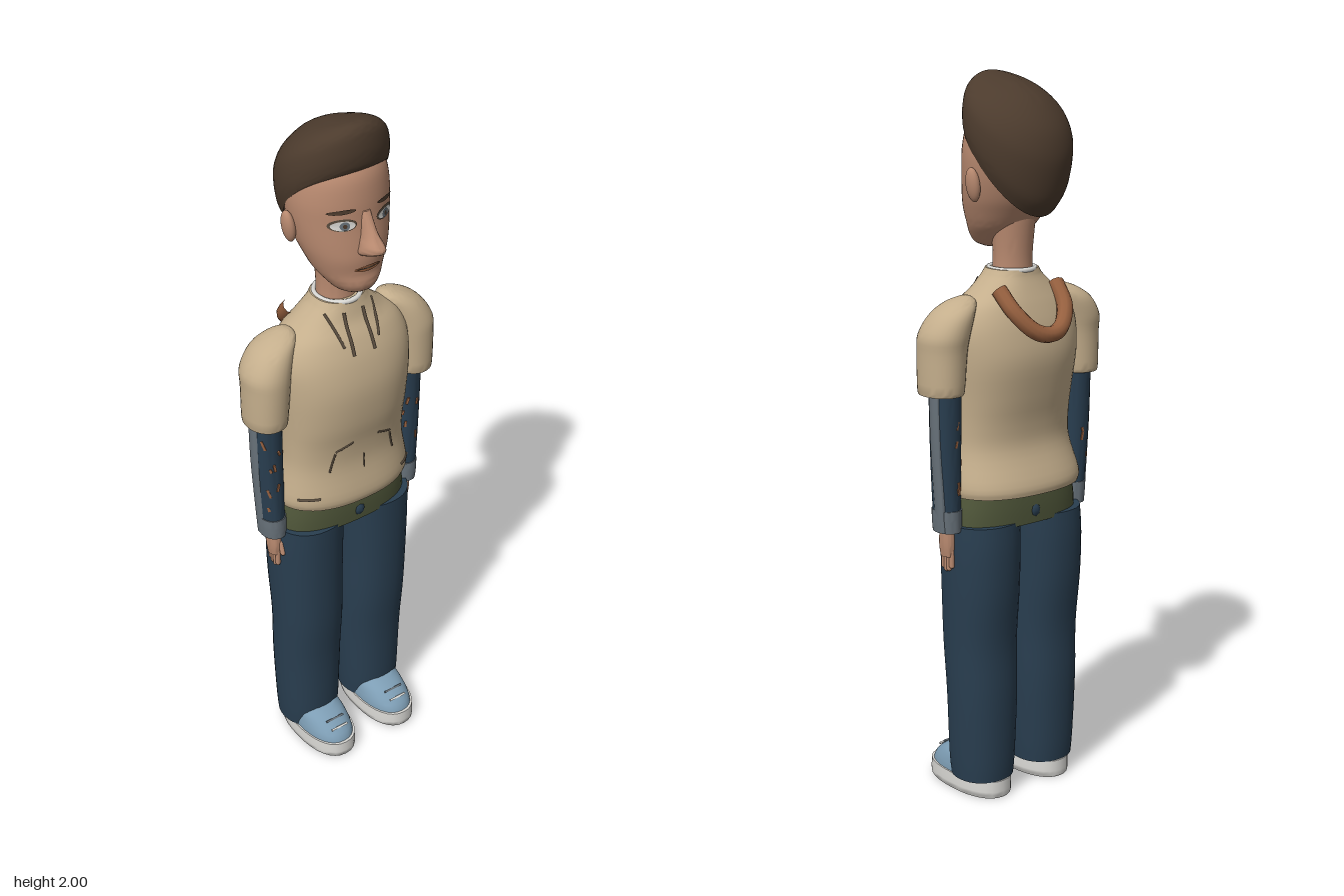
import * as THREE from 'three';
import { toCreasedNormals } from 'three/addons/utils/BufferGeometryUtils.js';

const mat = (name, color) => {
  const m = new THREE.MeshStandardMaterial({ color });
  m.name = name;
  return m;
};

// Ring: front y and z, back y and z, centre x, half width, lift at the sides
const ring = (y, zf, zb, rx, cx = 0) => [y, zf, y, zb, cx, rx, 0];

// Smooth value between b and c, with neighbours a and d
const blend = (a, b, c, d, t) => {
  const cubic = 3 * (b - c) + d - a;
  const square = 2 * a - 5 * b + 4 * c - d;
  return b + 0.5 * t * (c - a + t * (square + t * cubic));
};

// Smooth in-between rings
function refine(rings, steps = 4) {
  const out = [];
  for (let i = 0; i < rings.length - 1; i++) {
    const [a, b, c, d] = [-1, 0, 1, 2].map(k => rings[THREE.MathUtils.clamp(i + k, 0, rings.length - 1)]);
    for (let s = 0; s < steps; s++) out.push(b.map((v, k) => blend(a[k], v, c[k], d[k], s / steps)));
  }
  out.push(rings[rings.length - 1]);
  return out;
}

// Point on a ring at angle a, measured from the front towards +x
function ringPoint([yf, zf, yb, zb, cx, rx, lift], a, n) {
  const bend = v => Math.sign(v) * Math.pow(Math.abs(v), 2 / n);
  const u = bend(Math.cos(a)), s = bend(Math.sin(a));
  return [cx + rx * s, (yf + yb) / 2 + (yf - yb) / 2 * u + lift * (1 - u * u), (zf + zb) / 2 + (zf - zb) / 2 * u];
}

// Closed skin over rings listed from bottom to top
function loft(rings, n = 2, seg = 32) {
  const rs = refine(rings), pos = [], idx = [];
  for (const r of rs) for (let j = 0; j < seg; j++) pos.push(...ringPoint(r, j / seg * Math.PI * 2, n));
  const last = (rs.length - 1) * seg, base = rs.length * seg;
  for (const r of [rs[0], rs[rs.length - 1]]) pos.push(r[4], (r[0] + r[2]) / 2, (r[1] + r[3]) / 2);
  for (let j = 0; j < seg; j++) {
    const k = (j + 1) % seg;
    for (let i = 0; i < last; i += seg) idx.push(i + j, i + k, i + seg + k, i + j, i + seg + k, i + seg + j);
    idx.push(base, k, j, base + 1, last + j, last + k);
  }
  const g = new THREE.BufferGeometry();
  g.setAttribute('position', new THREE.Float32BufferAttribute(pos, 3));
  g.setIndex(idx);
  return toCreasedNormals(g, 0.9);
}

// Front surface depth of level rings at (x, y)
function frontZ(rings, n, x, y) {
  const rs = refine(rings);
  let i = 0;
  while (i < rs.length - 2 && rs[i + 1][0] < y) i++;
  const t = THREE.MathUtils.clamp((y - rs[i][0]) / (rs[i + 1][0] - rs[i][0]), 0, 1);
  const r = rs[i].map((v, k) => v + (rs[i + 1][k] - v) * t);
  const w = Math.min(1, Math.abs((x - r[4]) / r[5]));
  return (r[1] + r[3]) / 2 + (r[1] - r[3]) / 2 * Math.pow(1 - Math.pow(w, n), 1 / n);
}

export function createModel() {
  const model = new THREE.Group();
  model.name = 'standingFigure';
  const shirt = mat('sand shirt', 0xc4ae8c), skin = mat('skin', 0xb98a70), hair = mat('brown hair', 0x4c3b2d);
  const navy = mat('navy cloth', 0x293e50), olive = mat('olive band', 0x50573a), blue = mat('shoe blue', 0x7d9db4);
  const white = mat('off white', 0xdad9d5), rust = mat('rust', 0x96603f), grey = mat('grey', 0x68727a);
  const seam = mat('dark seam', 0x594c3e);

  const add = (name, geo, material, parent = model) => {
    const m = new THREE.Mesh(geo, material);
    m.name = name;
    parent.add(m);
    return m;
  };
  const ball = (name, material, p, s) => {
    const m = add(name, new THREE.SphereGeometry(1, 24, 16), material);
    m.position.set(...p);
    m.scale.set(...s);
    return m;
  };

  // Torso
  const torso = [
    ring(0.88, 0.125, -0.145, 0.203), ring(0.91, 0.13, -0.145, 0.208), ring(1.0, 0.116, -0.11, 0.19),
    ring(1.07, 0.12, -0.11, 0.188), ring(1.15, 0.135, -0.125, 0.192), ring(1.25, 0.14, -0.14, 0.2),
    ring(1.33, 0.125, -0.13, 0.2), ring(1.39, 0.1, -0.112, 0.175), ring(1.43, 0.076, -0.096, 0.125),
    ring(1.465, 0.064, -0.082, 0.085), ring(1.485, 0.058, -0.078, 0.07)];
  add('shirtBody', loft(torso, 2.3, 48), shirt);

  // Shirt folds and seams following the chest
  const fold = (name, from, to, radius) => {
    const pts = [0, 0.33, 0.67, 1].map(t => {
      const x = from[0] + (to[0] - from[0]) * t, y = from[1] + (to[1] - from[1]) * t;
      return new THREE.Vector3(x, y, frontZ(torso, 2.3, x, y));
    });
    add(name, new THREE.TubeGeometry(new THREE.CatmullRomCurve3(pts), 10, radius, 6), seam);
  };
  for (const s of [1, -1]) {
    fold('collarFold', [s * 0.075, 1.46], [s * 0.055, 1.38], 0.004);
    fold('collarCord', [s * 0.03, 1.46], [s * 0.033, 1.355], 0.005);
    fold('waistFold', [s * 0.105, 1.0], [s * 0.09, 1.06], 0.003);
    fold('waistFoldTop', [s * 0.09, 1.065], [s * 0.04, 1.085], 0.003);
    fold('hemMark', [s * 0.135, 0.922], [s * 0.185, 0.918], 0.004);
  }
  fold('centreSeam', [0, 0.985], [0, 1.03], 0.002);

  // Neck, collar and folded hood
  add('neck', loft([ring(1.45, 0.042, -0.066, 0.058), ring(1.52, 0.038, -0.065, 0.055),
    ring(1.62, 0.045, -0.075, 0.062)]), skin);
  const collar = add('collarTrim', new THREE.TorusGeometry(0.06, 0.007, 8, 32), white);
  collar.rotation.x = Math.PI / 2;
  collar.scale.y = 1.08;
  collar.position.set(0, 1.483, -0.01);
  const hoodPath = [[-0.1, 1.44, -0.075], [-0.088, 1.385, -0.125], [-0.045, 1.335, -0.158], [0, 1.322, -0.166],
    [0.045, 1.335, -0.158], [0.088, 1.385, -0.125], [0.1, 1.44, -0.075]].map(p => new THREE.Vector3(...p));
  add('hoodFold', new THREE.TubeGeometry(new THREE.CatmullRomCurve3(hoodPath), 32, 0.022, 10), rust);

  // Head
  const head = [
    ring(1.535, 0.095, 0.03, 0.03), ring(1.546, 0.118, 0, 0.055), ring(1.57, 0.127, -0.03, 0.076),
    ring(1.6, 0.124, -0.06, 0.096), ring(1.64, 0.128, -0.09, 0.113), ring(1.68, 0.125, -0.115, 0.126),
    ring(1.74, 0.118, -0.138, 0.137), ring(1.8, 0.115, -0.15, 0.14), ring(1.86, 0.105, -0.145, 0.128),
    ring(1.9, 0.08, -0.12, 0.095), ring(1.93, 0.05, -0.07, 0.05)];
  add('head', loft(head, 2, 48), skin);
  add('nose', loft([ring(1.652, 0.128, 0.09, 0.02), ring(1.668, 0.165, 0.09, 0.031), ring(1.687, 0.188, 0.09, 0.029),
    ring(1.72, 0.158, 0.09, 0.019), ring(1.775, 0.122, 0.09, 0.014)], 1.8, 20), skin);
  add('hair', loft([
    [1.88, 0.098, 1.63, -0.13, 0, 0.14, 0.04], [1.895, 0.104, 1.67, -0.158, 0, 0.147, 0.035],
    [1.93, 0.108, 1.74, -0.175, 0, 0.148, 0.02], [1.97, 0.104, 1.8, -0.178, 0, 0.14, 0.01],
    [1.99, 0.095, 1.865, -0.16, 0, 0.115, 0.005], [1.999, 0.08, 1.93, -0.11, 0, 0.076, 0],
    [1.998, 0.06, 1.97, -0.045, 0, 0.03, 0]], 2, 48), hair);

  // Thin face patches bent over the head
  const patch = (name, material, x, y, w, h, tilt, lift) => {
    const g = new THREE.CircleGeometry(1, 20);
    g.scale(w, h, 1).rotateZ(tilt).translate(x, y, 0);
    const p = g.attributes.position;
    for (let i = 0; i < p.count; i++) p.setZ(i, frontZ(head, 2, p.getX(i), p.getY(i)) + lift);
    g.computeVertexNormals();
    add(name, g, material);
  };
  for (const s of [1, -1]) {
    patch('eyeLine', seam, s * 0.064, 1.747, 0.034, 0.017, 0, 0.003);
    patch('eyeWhite', white, s * 0.064, 1.746, 0.029, 0.013, 0, 0.005);
    patch('iris', grey, s * 0.062, 1.746, 0.012, 0.012, 0, 0.007);
    patch('pupil', hair, s * 0.062, 1.746, 0.005, 0.006, 0, 0.008);
    patch('eyebrow', hair, s * 0.066, 1.783, 0.034, 0.006, s * -0.08, 0.004);
    ball('ear', skin, [s * 0.142, 1.715, -0.02], [0.016, 0.046, 0.023]).rotation.z = s * -0.15;
  }
  patch('mouth', rust, 0, 1.617, 0.04, 0.009, 0, 0.003);
  patch('mouthLine', seam, 0, 1.619, 0.038, 0.002, 0, 0.005);

  // Hips
  add('hipBand', loft([ring(0.79, 0.098, -0.112, 0.203), ring(0.84, 0.1, -0.112, 0.2),
    ring(0.9, 0.098, -0.108, 0.19)], 2.5, 40), olive);
  ball('crotch', navy, [0, 0.825, -0.006], [0.045, 0.052, 0.113]);

  let seed = 7;
  const rand = () => (seed = (seed * 16807) % 2147483647) / 2147483647;

  for (const s of [1, -1]) {
    const side = new THREE.Group();
    side.name = s > 0 ? 'leftLimbs' : 'rightLimbs';
    model.add(side);
    const limb = (name, rows, material, n = 2.1) =>
      add(name, loft(rows.map(([y, zf, zb, rx, cx]) => ring(y, zf, zb, rx, s * cx)), n), material, side);

    // Arm
    limb('sleeve', [[1.17, 0.061, -0.065, 0.052, 0.24], [1.18, 0.067, -0.072, 0.057, 0.24],
      [1.28, 0.07, -0.075, 0.062, 0.236], [1.33, 0.067, -0.08, 0.065, 0.231], [1.38, 0.052, -0.075, 0.056, 0.208],
      [1.41, 0.03, -0.055, 0.04, 0.18], [1.425, 0, -0.03, 0.014, 0.165]], shirt);
    const arm = [[0.79, 0.037, -0.045, 0.032, 0.224], [0.9, 0.037, -0.048, 0.036, 0.228],
      [1.05, 0.034, -0.052, 0.041, 0.232], [1.2, 0.034, -0.055, 0.043, 0.233]];
    limb('forearm', arm, navy);
    limb('armStripe', arm.map(([y, , , rx, cx]) => [y, 0.008, -0.032, 0.02, cx + rx - 0.017]), grey, 4);
    limb('cuff', [[0.788, 0.04, -0.048, 0.035, 0.224], [0.82, 0.041, -0.049, 0.037, 0.225],
      [0.85, 0.04, -0.05, 0.037, 0.226]], grey);

    // Small flecks scattered on the forearm
    for (let i = 0; i < 20; i++) {
      const y = 0.88 + 0.27 * (i + rand()) / 20, a = rand() * Math.PI * 2, t = (y - 0.79) / 0.41;
      const fleck = add('armFleck', new THREE.BoxGeometry(0.007, 0.012 + rand() * 0.018, 0.004), rust, side);
      fleck.position.set(s * (0.225 + 0.008 * t) + (0.034 + 0.009 * t) * Math.sin(a), y,
        -0.007 + 0.0435 * Math.cos(a));
      fleck.rotation.set(0, a, (rand() - 0.5) * 0.8);
    }

    // Hand
    limb('palm', [[0.715, 0.02, -0.022, 0.016, 0.222], [0.75, 0.024, -0.026, 0.02, 0.222],
      [0.8, 0.02, -0.024, 0.02, 0.222]], skin);
    for (let i = 0; i < 4; i++) {
      const f = add('finger', new THREE.CapsuleGeometry(0.0075, 0.04, 4, 10), skin, side);
      f.position.set(s * 0.221, 0.7 + [0.003, -0.004, -0.001, 0.008][i], 0.015 - i * 0.011);
    }
    const thumb = add('thumb', new THREE.CapsuleGeometry(0.008, 0.03, 4, 10), skin, side);
    thumb.position.set(s * 0.213, 0.738, 0.025);
    thumb.rotation.x = -0.25;

    // Leg
    limb('trouserLeg', [[0.05, 0.074, -0.095, 0.085, 0.11], [0.12, 0.08, -0.1, 0.09, 0.11],
      [0.3, 0.083, -0.105, 0.097, 0.11], [0.45, 0.094, -0.103, 0.1, 0.111], [0.6, 0.098, -0.117, 0.103, 0.113],
      [0.72, 0.1, -0.12, 0.105, 0.113], [0.8, 0.101, -0.115, 0.105, 0.111]], navy, 2.2);

    // Shoe
    limb('shoeSole', [[0, 0.183, -0.098, 0.072, 0.108], [0.01, 0.188, -0.101, 0.077, 0.108],
      [0.05, 0.186, -0.1, 0.077, 0.108]], white, 2.3);
    limb('shoeUpper', [[0.045, 0.18, -0.094, 0.073, 0.108], [0.07, 0.167, -0.092, 0.071, 0.108],
      [0.1, 0.13, -0.085, 0.064, 0.108], [0.118, 0.09, -0.075, 0.05, 0.108]], blue, 2.3);
    for (const [y, z, w] of [[0.086, 0.152, 0.055], [0.102, 0.128, 0.06]]) {
      const lace = add('shoelace', new THREE.BoxGeometry(w, 0.006, 0.005), y < 0.09 ? white : grey, side);
      lace.position.set(s * 0.108, y, z);
      lace.rotation.x = -0.8;
    }
  }
  return model;
}
